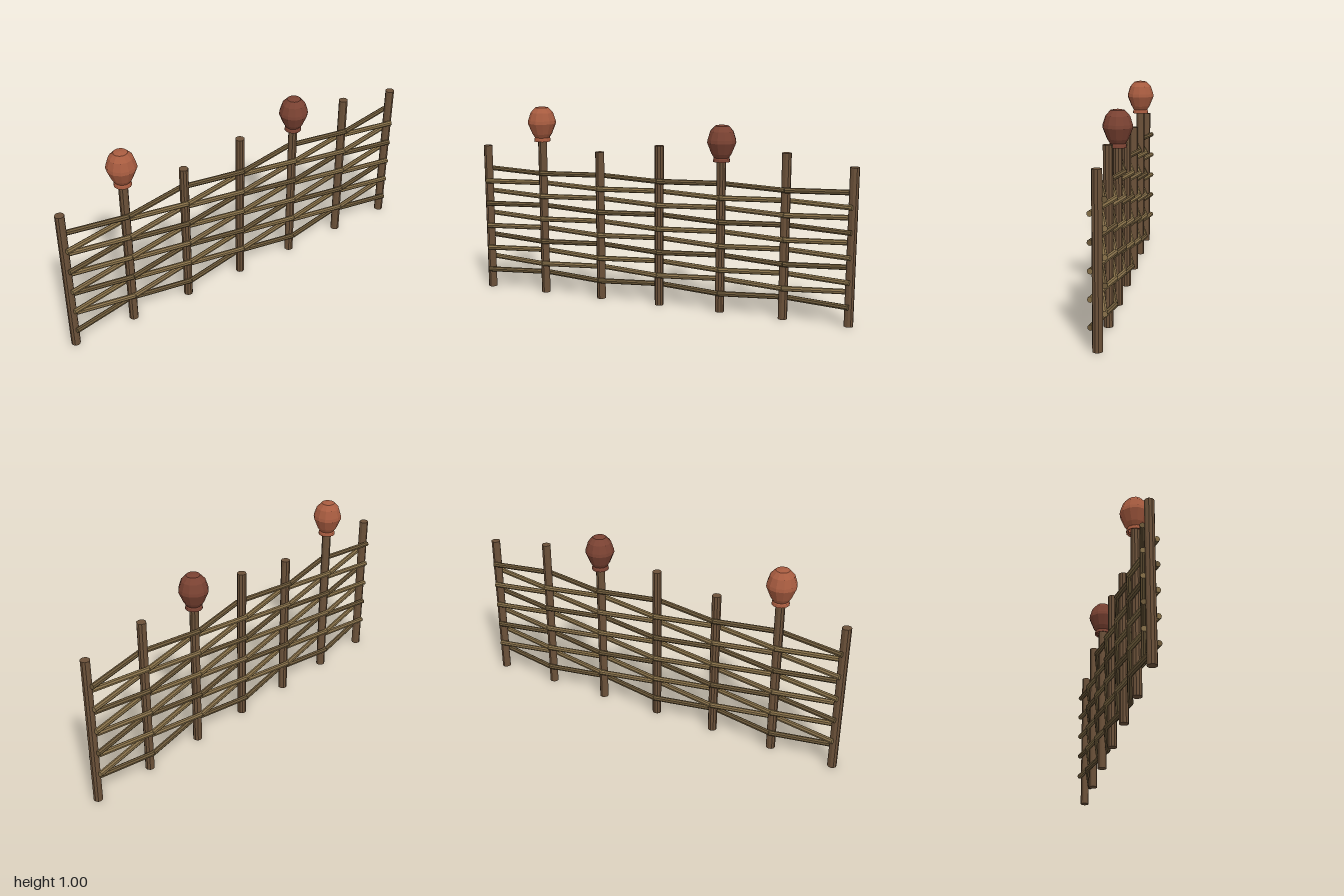
import * as THREE from 'three';

const mat = (color) => new THREE.MeshStandardMaterial({ color, flatShading: true });

export function createModel() {
  const model = new THREE.Group();
  const postMat = mat(0x6b5139);
  const rodMats = [mat(0x6e5a3a), mat(0x87704a), mat(0x877048)];
  const postRadius = 0.023, rodRadius = 0.0135, weave = 0.031;
  const spacing = (1 - postRadius) / 3;
  const postX = (i) => (i - 3) * spacing;
  const postHeight = (i) => (i % 2 ? 0.83 : 0.78);

  // Upright posts, alternately short and tall
  for (let i = 0; i < 7; i++) {
    const h = postHeight(i);
    const post = new THREE.Mesh(new THREE.CylinderGeometry(postRadius, postRadius, h, 10), postMat);
    post.name = 'post';
    post.position.set(postX(i), h / 2, 0);
    model.add(post);
  }

  // Woven rods, passing in front of and behind successive posts
  const up = new THREE.Vector3(0, 1, 0);
  for (let row = 0; row < 10; row++) {
    const rod = new THREE.Group();
    rod.name = 'wovenRod';
    const y = 0.103 + row * 0.0611;
    const point = (i) => new THREE.Vector3(postX(i), y, (row + i) % 2 ? -weave : weave);
    for (let i = 0; i < 6; i++) {
      const a = point(i), b = point(i + 1);
      const dir = b.clone().sub(a);
      const piece = new THREE.Mesh(
        new THREE.CylinderGeometry(rodRadius, rodRadius, dir.length(), 8), rodMats[row % 3]);
      piece.name = 'rodSegment';
      piece.position.copy(a).add(b).multiplyScalar(0.5);
      piece.quaternion.setFromUnitVectors(up, dir.normalize());
      rod.add(piece);
    }
    model.add(rod);
  }

  // Upturned clay pots on two of the posts
  const profile = [
    [0.032, 0.004], [0.043, 0], [0.041, 0.014], [0.038, 0.02], [0.051, 0.04],
    [0.073, 0.094], [0.071, 0.11], [0.058, 0.15], [0.034, 0.176], [0, 0.182],
  ].map(([r, y]) => new THREE.Vector2(r, y));
  const potGeometry = new THREE.LatheGeometry(profile, 12);
  for (const [i, color] of [[1, 0xa85c40], [4, 0x7a4232]]) {
    const material = mat(color);
    material.side = THREE.DoubleSide;
    const pot = new THREE.Mesh(potGeometry, material);
    pot.name = 'pot';
    pot.position.set(postX(i), postHeight(i) - 0.011, 0);
    model.add(pot);
  }
  return model;
}
